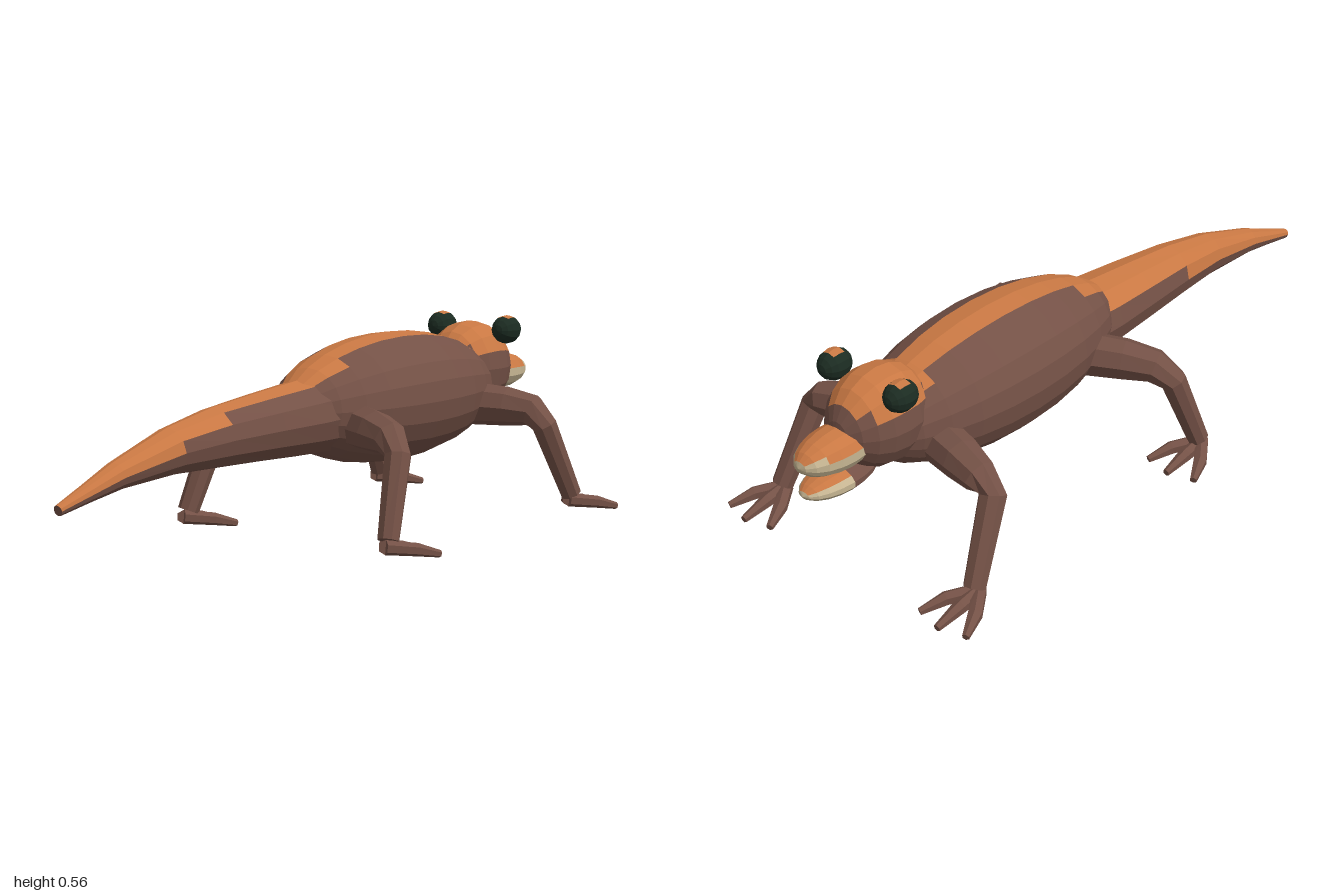
import * as THREE from 'three';

const material = (name, color) => {
  const m = new THREE.MeshStandardMaterial({ color });
  m.name = name;
  return m;
};

export function createModel() {
  const model = new THREE.Group();
  model.name = 'lizard';
  const mats = [
    material('brown skin', 0x745146), material('orange back', 0xc97843),
    material('cream lips', 0xc6b592), material('dark green eye', 0x1c2c22),
  ];
  const [BROWN, ORANGE, CREAM, EYE] = [0, 1, 2, 3];

  // Faceted skin over rings [x, y, z, rx, ry]; rule(centre, normal) picks each face's colour
  function loft(name, rings, sides, rule, parent = model) {
    const pts = rings.map(r => new THREE.Vector3(r[0], r[1], r[2]));
    const side = new THREE.Vector3(), up = new THREE.Vector3();
    let before = null;
    const loops = rings.map((r, i) => {
      const t = pts[Math.min(i + 1, pts.length - 1)].clone().sub(pts[Math.max(i - 1, 0)]).normalize();
      if (!before) {
        side.crossVectors(t, new THREE.Vector3(0, 1, 0)).normalize();
        up.crossVectors(side, t);
      } else {
        const q = new THREE.Quaternion().setFromUnitVectors(before, t);
        side.applyQuaternion(q);
        up.applyQuaternion(q);
      }
      before = t;
      return Array.from({ length: sides }, (_, j) => {
        const a = j / sides * Math.PI * 2;
        return pts[i].clone().addScaledVector(side, Math.sin(a) * r[3])
          .addScaledVector(up, Math.cos(a) * (r[4] ?? r[3]));
      });
    });
    const faces = mats.map(() => []);
    const addFace = (corners) => {
      const c = new THREE.Vector3();
      corners.forEach(p => c.addScaledVector(p, 1 / corners.length));
      const n = new THREE.Vector3().crossVectors(
        corners[1].clone().sub(corners[0]), corners[2].clone().sub(corners[0])).normalize();
      const list = faces[typeof rule === 'number' ? rule : rule(c, n)];
      for (let k = 1; k < corners.length - 1; k++) list.push(corners[0], corners[k], corners[k + 1]);
    };
    for (let i = 0; i < loops.length - 1; i++) {
      for (let j = 0; j < sides; j++) {
        const k = (j + 1) % sides;
        addFace([loops[i][j], loops[i][k], loops[i + 1][k], loops[i + 1][j]]);
      }
    }
    addFace([...loops[0]].reverse());
    addFace(loops[loops.length - 1]);

    const geo = new THREE.BufferGeometry().setFromPoints(faces.flat());
    let start = 0;
    faces.forEach((list, m) => {
      if (list.length) geo.addGroup(start, list.length, m);
      start += list.length;
    });
    geo.computeVertexNormals();
    const mesh = new THREE.Mesh(geo, mats);
    mesh.name = name;
    parent.add(mesh);
  }

  // Ellipsoid with its poles along z
  function ellipsoid(name, [x, y, z], [rx, ry, rz], sides, steps, rule) {
    const rings = [];
    for (let i = 0; i <= steps; i++) {
      const a = i / steps * Math.PI, s = Math.max(Math.sin(a), 0.02);
      rings.push([x, y, z - Math.cos(a) * rz, rx * s, ry * s]);
    }
    loft(name, rings, sides, rule);
  }

  // Trunk with a stripe along the back
  ellipsoid('body', [0, 0.362, -0.32], [0.19, 0.183, 0.46], 20, 14,
    c => (Math.abs(c.x) < 0.06 && c.y > 0.4 ? ORANGE : BROWN));

  // Tail, the stripe widening to cover the upper half toward the tip
  loft('tail', [
    [0, 0.35, -0.1, 0.12, 0.115], [0, 0.342, 0.1, 0.112, 0.102], [0, 0.338, 0.25, 0.098, 0.092],
    [0, 0.331, 0.43, 0.078, 0.08], [0, 0.317, 0.6, 0.058, 0.062], [0, 0.28, 0.8, 0.038, 0.036],
    [0, 0.251, 0.9, 0.026, 0.024], [0, 0.222, 1, 0.014, 0.014],
  ], 12, (c, n) => (c.z < 0.99 && n.y > 0.1 && c.x > -0.08 && c.x < 0.055 ? ORANGE : BROWN));

  // Head and the two halves of the mouth
  ellipsoid('head', [0, 0.41, -0.725], [0.118, 0.135, 0.147], 16, 10,
    c => (c.y > 0.47 ? ORANGE : BROWN));
  ellipsoid('snout', [0, 0.383, -0.87], [0.072, 0.054, 0.13], 14, 10,
    c => (c.y > 0.4 ? ORANGE : CREAM));
  ellipsoid('lowerJaw', [0, 0.297, -0.87], [0.062, 0.033, 0.122], 14, 10,
    (c, n) => (c.z > -0.88 ? BROWN : n.y > 0.75 ? ORANGE : CREAM));

  for (const s of [-1, 1]) {
    const label = s > 0 ? 'left' : 'right';

    // Bulging eye with a small bright patch on top
    ellipsoid(label + 'Eye', [s * 0.115, 0.523, -0.755], [0.041, 0.042, 0.049], 12, 8,
      c => (c.y > 0.553 && Math.abs(c.x - s * 0.115) < 0.016 && Math.abs(c.z + 0.755) < 0.025
        ? ORANGE : EYE));

    // Legs: hip, knee and ankle along z, then three toes pointing toward the head
    for (const [end, hip, knee, ankle] of [['Front', -0.61, -0.66, -0.755], ['Rear', -0.05, 0.05, 0.14]]) {
      const leg = new THREE.Group();
      leg.name = label + end + 'Leg';
      model.add(leg);
      loft('limb', [
        [s * 0.1, 0.318, hip, 0.062], [s * 0.2, 0.315, hip + (knee - hip) * 0.5, 0.057],
        [s * 0.275, 0.307, hip + (knee - hip) * 0.85, 0.047],
        [s * 0.318, 0.27, knee + 0.01, 0.037], [s * 0.347, 0.058, ankle, 0.03],
      ], 8, BROWN, leg);
      for (const d of [-1, 0, 1]) {
        const x = s * 0.35;
        loft('toe', [
          [x, 0.042, ankle + 0.015, 0.02], [x + d * 0.05, 0.032, ankle - 0.055, 0.02, 0.018],
          [x + d * 0.078, 0.014, ankle - (d ? 0.12 : 0.14), 0.01],
        ], 6, BROWN, leg);
      }
    }
  }
  return model;
}
